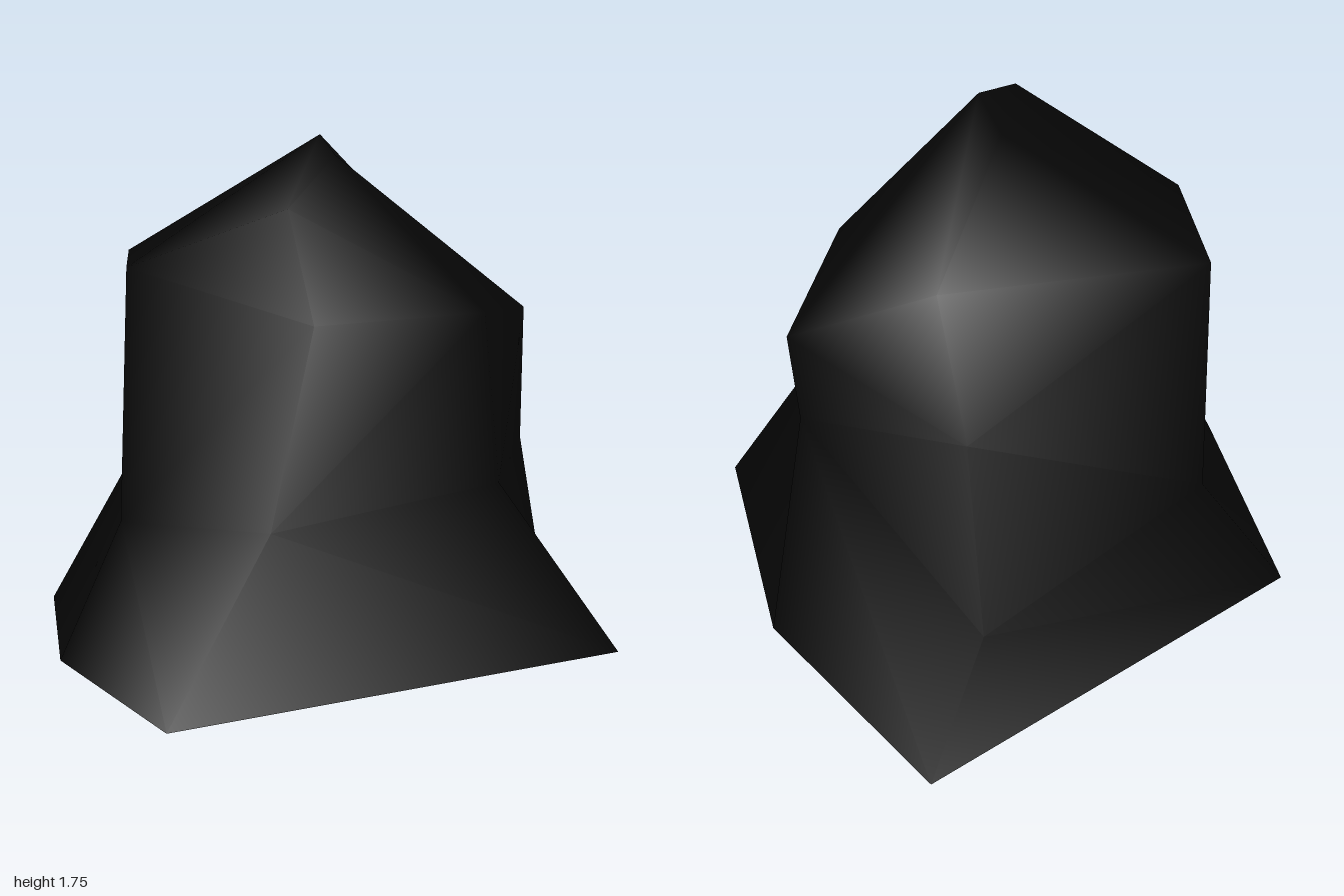
import * as THREE from 'three';

export function createModel() {
  const group = new THREE.Group();
  group.name = 'boulder';
  const darkStone = new THREE.MeshStandardMaterial({ color: 0x070707, side: THREE.DoubleSide });
  darkStone.name = 'darkStone';

  // Six-sided cross-sections, from the back left corner clockwise seen from above
  const base = [[-0.73, 0, -0.78], [0.86, 0, -0.98], [1, 0, -0.06], [0.75, 0, 0.81], [-0.98, 0, 0.97], [-1, 0, 0.07]];
  const waist = [[-0.34, 0.63, -0.77], [0.59, 0.46, -0.87], [0.71, 0.66, 0.22], [0.35, 0.6, 0.67], [-0.62, 0.57, 0.94], [-0.78, 0.46, 0.08]];
  const shoulder = [[-0.52, 1.33, -0.49], [0.48, 1.02, -0.58], [0.78, 1.12, 0.12], [0.36, 1.16, 0.55], [-0.37, 1.17, 0.73], [-0.71, 1.31, -0.02]];
  // Four crown points: peak, right, front, left
  const crown = [[0.02, 1.75, -0.02], [0.46, 1.48, -0.36], [-0.1, 1.69, 0.34], [-0.38, 1.53, 0.56]];

  const rings = [
    [0, 1, 2, 3, 4, 5],
    [6, 7, 8, 9, 10, 11],
    [12, 13, 14, 15, 16, 17],
    [18, 19, 19, 20, 21, 21], // the crown shares points, so some quads become triangles
  ];
  const index = [];
  const triangle = (a, b, c) => {
    if (a !== b && b !== c && a !== c) index.push(a, b, c);
  };
  for (let r = 0; r < 3; r++) {
    for (let i = 0; i < 6; i++) {
      const j = (i + 1) % 6;
      const a = rings[r][i], b = rings[r][j], c = rings[r + 1][j], d = rings[r + 1][i];
      if (r === 1 && i > 0) {
        // Folded inwards between waist and shoulder
        triangle(a, d, b);
        triangle(b, d, c);
      } else {
        triangle(a, d, c);
        triangle(a, c, b);
      }
    }
  }
  triangle(18, 20, 19);
  triangle(18, 21, 20);

  // Smooth-shaded shell, open underneath
  const geometry = new THREE.BufferGeometry();
  const points = [...base, ...waist, ...shoulder, ...crown];
  geometry.setAttribute('position', new THREE.Float32BufferAttribute(points.flat(), 3));
  geometry.setIndex(index);
  geometry.computeVertexNormals();
  const rock = new THREE.Mesh(geometry, darkStone);
  rock.name = 'rockShell';
  group.add(rock);

  return group;
}
